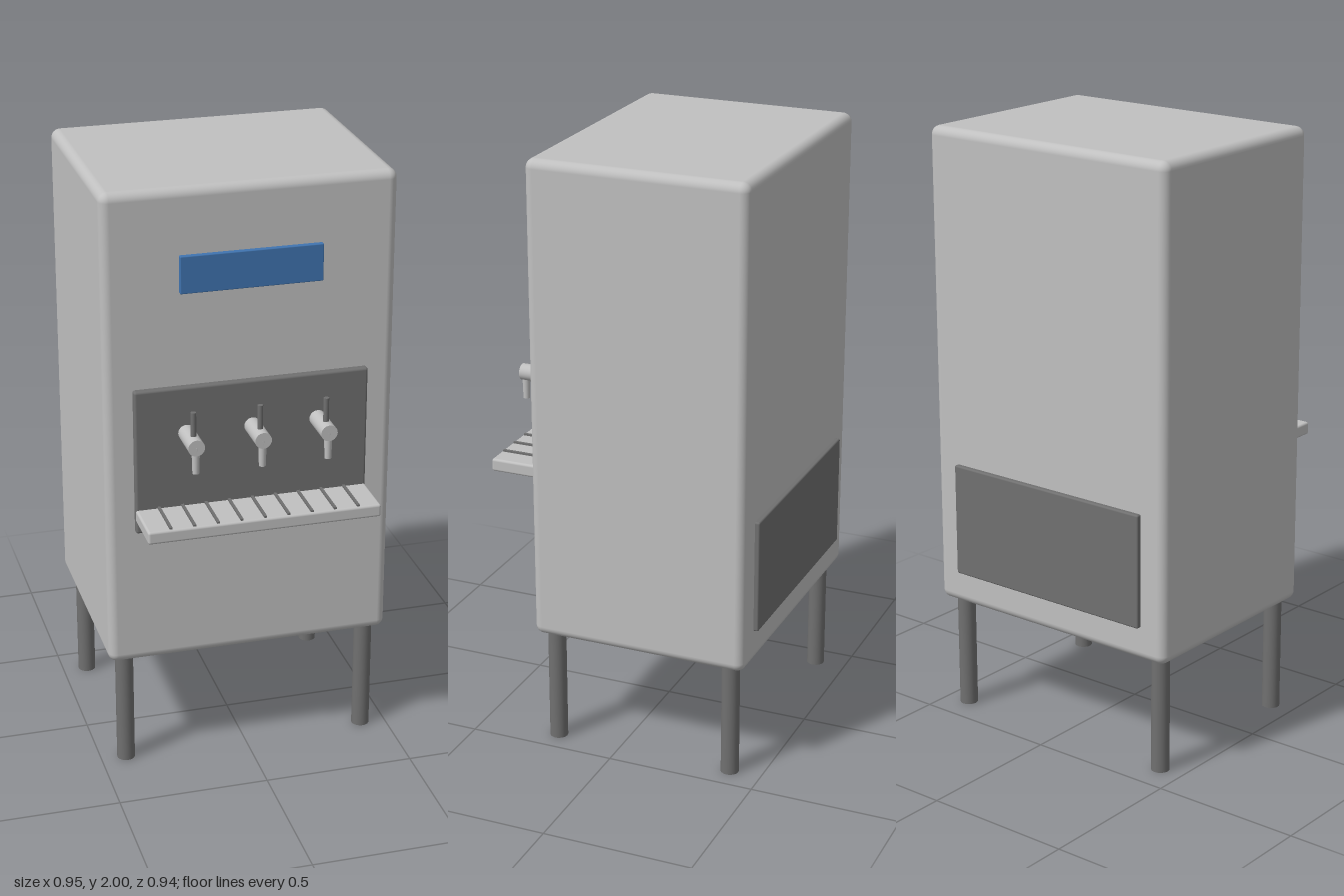
import * as THREE from 'three';
import { RoundedBoxGeometry } from 'three/addons/geometries/RoundedBoxGeometry.js';

const material = (name, color) => Object.assign(new THREE.MeshStandardMaterial({ color }), { name });

export function createModel() {
  const steel = material('lightSteel', 0xc0c0c0);
  const dark = material('darkGrey', 0x707070);
  const blue = material('displayBlue', 0x4074b0);
  const model = new THREE.Group();
  model.name = 'drinkDispenser';

  const add = (name, geometry, mat, x, y, z, parent = model) => {
    const mesh = new THREE.Mesh(geometry, mat);
    mesh.name = name;
    mesh.position.set(x, y, z);
    parent.add(mesh);
    return mesh;
  };

  // Rounded box given by its half width and its y and z extents
  const block = (name, halfW, y0, y1, z0, z1, radius, mat) =>
    add(name, new RoundedBoxGeometry(halfW * 2, y1 - y0, z1 - z0, 4, radius),
      mat, 0, (y0 + y1) / 2, (z0 + z1) / 2);

  // Cabinet with front and rear fittings
  block('cabinet', 0.475, 0.392, 2, -0.455, 0.282, 0.03, steel);
  block('tapPanel', 0.383, 0.867, 1.357, 0.27, 0.304, 0.008, dark);
  block('display', 0.23, 1.665, 1.787, 0.27, 0.298, 0.003, blue);
  block('rearVent', 0.383, 0.505, 0.885, -0.471, -0.445, 0.006, dark);

  // Drip tray with dark drainage slots
  block('dripTray', 0.383, 0.907, 0.95, 0.295, 0.467, 0.008, steel);
  for (let i = -4; i <= 4; i++) {
    add('traySlot', new THREE.BoxGeometry(0.009, 0.008, 0.158), dark, i * 0.077, 0.952, 0.381);
  }

  // Three taps, each with barrel, spout and lever
  for (const x of [-0.216, 0, 0.216]) {
    const tap = new THREE.Group();
    tap.name = 'tap';
    tap.position.set(x, 1.203, 0);
    model.add(tap);
    const barrel = new THREE.CylinderGeometry(0.027, 0.027, 0.132, 28).rotateX(Math.PI / 2);
    add('tapBarrel', barrel, steel, 0, 0, 0.364, tap);
    add('tapSpout', new THREE.CylinderGeometry(0.0135, 0.011, 0.09, 20), steel, 0, -0.045, 0.417, tap);
    add('tapLever', new THREE.CylinderGeometry(0.009, 0.009, 0.09, 16), dark, 0, 0.061, 0.391, tap);
  }

  // Four round legs
  for (const x of [-0.415, 0.415]) {
    for (const z of [0.225, -0.392]) {
      add('leg', new THREE.CylinderGeometry(0.03, 0.03, 0.41, 24), dark, x, 0.205, z);
    }
  }
  return model;
}
